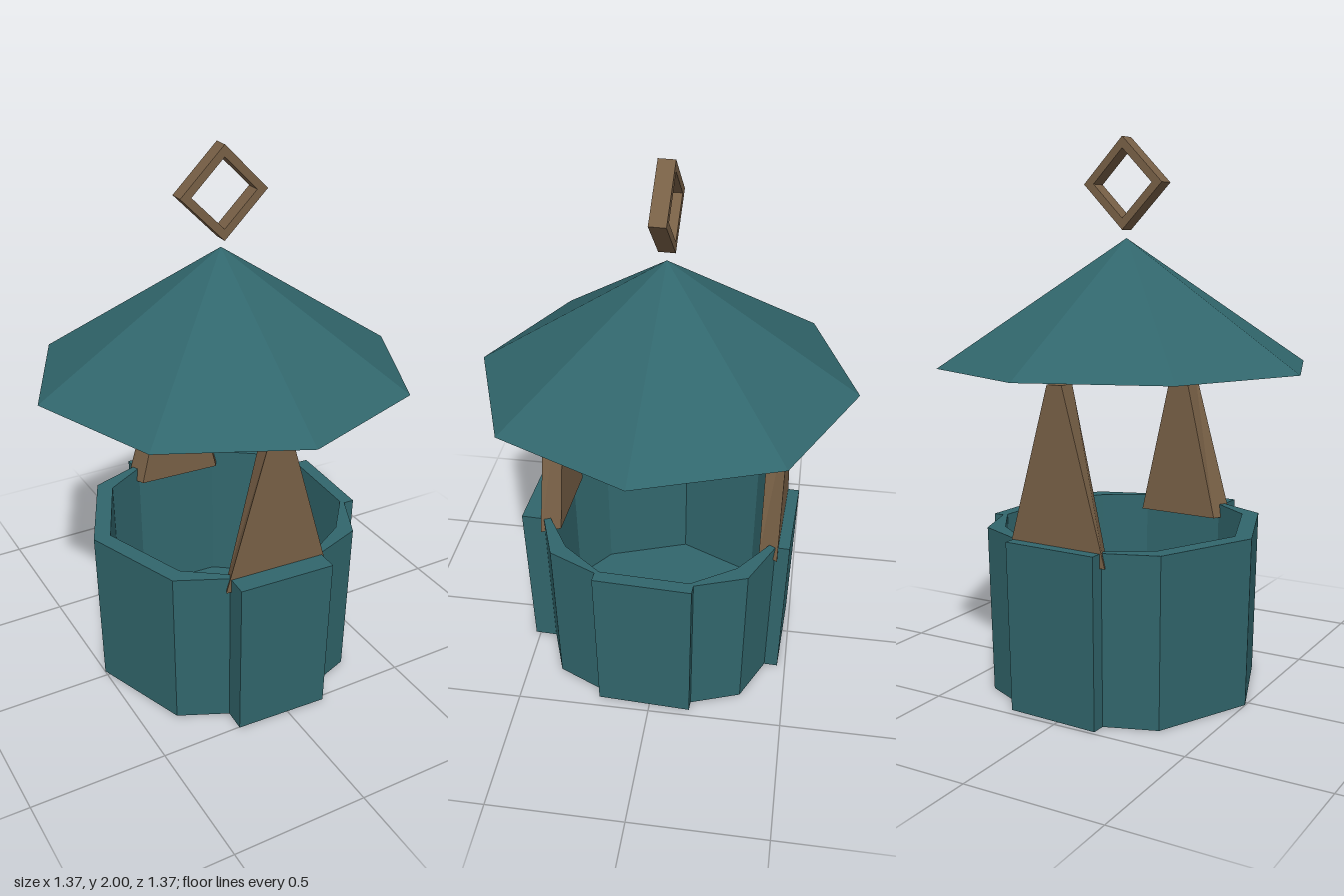
import * as THREE from 'three';

const teal = new THREE.MeshStandardMaterial({ color: 0x31666c, side: THREE.DoubleSide });
teal.name = 'teal';
const wood = new THREE.MeshStandardMaterial({ color: 0x786046 });
wood.name = 'wood';

// Joins closed rings of [x, y, z] points with flat quads, skipping collapsed triangles
function loft(rings) {
  const pos = [];
  const same = (p, q) => p.every((v, i) => Math.abs(v - q[i]) < 1e-6);
  const tri = (a, b, c) => {
    if (!same(a, b) && !same(b, c) && !same(a, c)) pos.push(...a, ...b, ...c);
  };
  for (let r = 0; r + 1 < rings.length; r++) {
    const lo = rings[r], hi = rings[r + 1], n = lo.length;
    for (let i = 0; i < n; i++) {
      const j = (i + 1) % n;
      tri(lo[i], lo[j], hi[j]);
      tri(lo[i], hi[j], hi[i]);
    }
  }
  const g = new THREE.BufferGeometry();
  g.setAttribute('position', new THREE.Float32BufferAttribute(pos, 3));
  g.computeVertexNormals();
  return g;
}

function addMesh(parent, name, geometry, material) {
  const mesh = new THREE.Mesh(geometry, material);
  mesh.name = name;
  parent.add(mesh);
  return mesh;
}

// Point at side offset s and distance d along the direction at angle a (from +z towards +x)
const polar = (a, d, s = 0) => [
  d * Math.sin(a) + s * Math.cos(a),
  d * Math.cos(a) - s * Math.sin(a),
];

// Well wall: an octagon whose front, right and back corners are raised flat panels
function wallGeometry() {
  const R = 0.515, inR = 0.45, half = 0.18, inHalf = 0.165;
  const step = R - half * Math.tan(Math.PI / 8);
  const panels = [[0.527, 0.42], [0.48, 0.43], [0.493, 0.42], null];
  const outer = [], inner = [];
  panels.forEach((panel, k) => {
    const a = k * Math.PI / 2;
    if (panel) {
      const [d, inD] = panel;
      for (const [dist, s] of [[step, -half], [d, -half], [d, half], [step, half]]) {
        outer.push(polar(a, dist, s));
        inner.push(polar(a, inD, Math.sign(s) * inHalf));
      }
    } else {
      outer.push(polar(a, R));
      inner.push(polar(a, inR));
    }
    outer.push(polar(a + Math.PI / 4, R));
    inner.push(polar(a + Math.PI / 4, inR));
  });
  const ring = (pts, y, k) => pts.map(([x, z]) => [x * k, y, z * k]);
  return loft([
    ring(outer, 0, 0), ring(outer, 0, 0.97), ring(outer, 0.61, 1),
    ring(inner, 0.61, 1), ring(inner, 0.04, 0.97), ring(inner, 0.04, 0),
  ]);
}

// Tapered post whose inner face is narrower than its outer face
function postGeometry() {
  const ring = (y, w) => [[w, y, 0.45], [w * 0.82, y, 0.38], [-w * 0.82, y, 0.38], [-w, y, 0.45]];
  const centre = (y) => Array.from({ length: 4 }, () => [0, y, 0.415]);
  return loft([centre(0.56), ring(0.56, 0.2), ring(1.16, 0.03), centre(1.16)]);
}

// Square frame standing on its corner
function finialGeometry() {
  const diamond = (Type, r) => new Type([
    new THREE.Vector2(r, 0), new THREE.Vector2(0, r),
    new THREE.Vector2(-r, 0), new THREE.Vector2(0, -r),
  ]);
  const shape = diamond(THREE.Shape, 0.163);
  shape.holes.push(diamond(THREE.Path, 0.122));
  const g = new THREE.ExtrudeGeometry(shape, { depth: 0.06, bevelEnabled: false });
  return g.translate(0, 1.837, -0.03);
}

export function createModel() {
  const well = new THREE.Group();
  well.name = 'well';

  // Everything is turned slightly about the upright axis
  const body = new THREE.Group();
  body.name = 'wellBody';
  body.rotation.y = -0.046;
  well.add(body);

  addMesh(body, 'wall', wallGeometry(), teal);

  // Front and back posts
  const post = postGeometry();
  addMesh(body, 'frontPost', post, wood);
  addMesh(body, 'backPost', post, wood).rotation.y = Math.PI;

  // Open eight-sided roof
  const roof = new THREE.ConeGeometry(0.684, 0.455, 8, 1, true).toNonIndexed();
  roof.computeVertexNormals();
  addMesh(body, 'roof', roof, teal).position.y = 1.4175;

  addMesh(body, 'finial', finialGeometry(), wood);
  return well;
}
